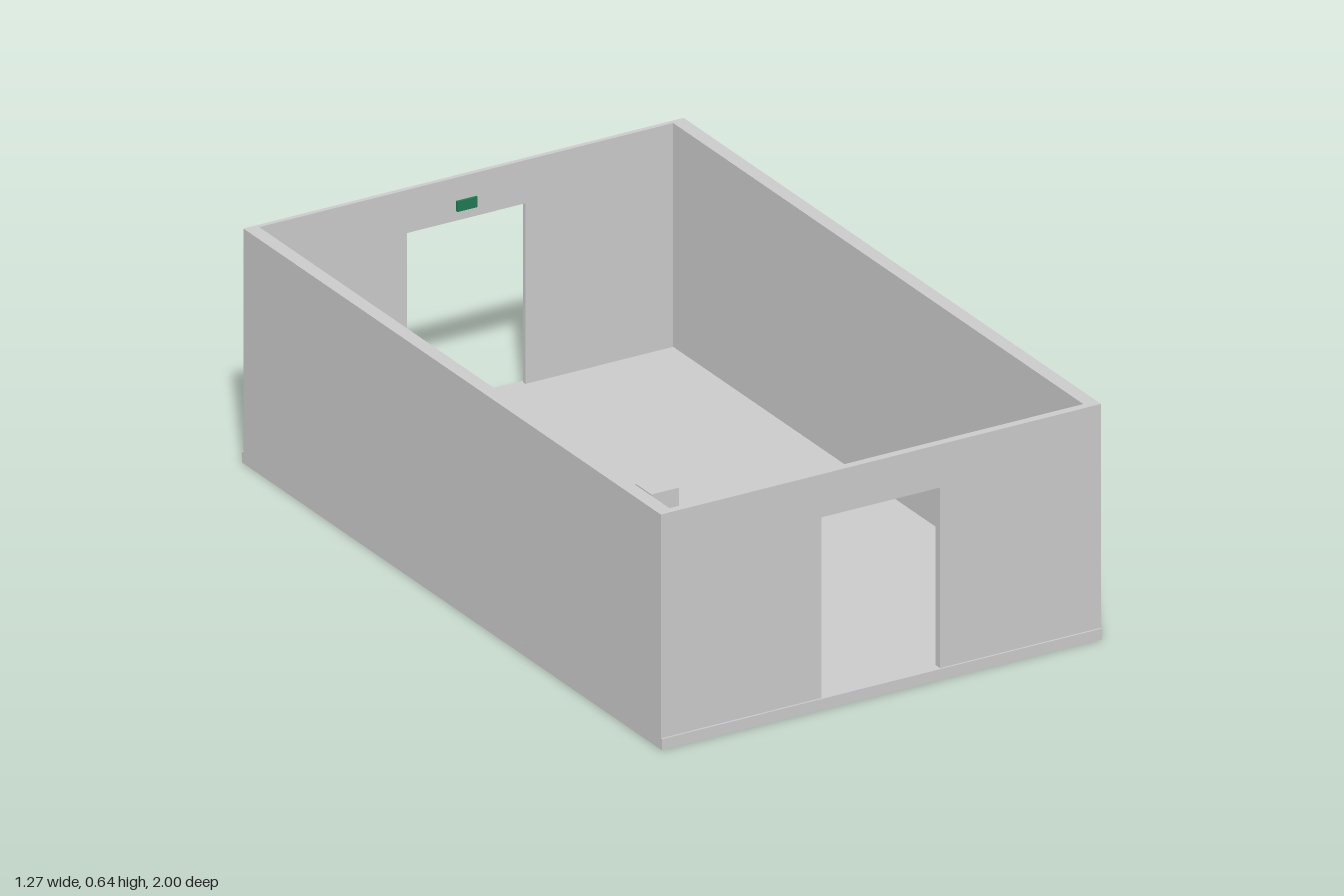
import * as THREE from 'three';

const material = (color) => new THREE.MeshStandardMaterial({ color, flatShading: true });

export function createModel() {
  const room = new THREE.Group();
  room.name = 'room';
  const grey = material(0xcccccc);
  const green = material(0x1f7a55);

  const floorTop = 0.03, wallTop = 0.637, halfWidth = 0.635, innerX = 0.597;

  // Box given by its extents on each axis
  const addBox = (name, [x0, x1], [y0, y1], [z0, z1], mat = grey) => {
    const mesh = new THREE.Mesh(new THREE.BoxGeometry(x1 - x0, y1 - y0, z1 - z0), mat);
    mesh.position.set((x0 + x1) / 2, (y0 + y1) / 2, (z0 + z1) / 2);
    mesh.name = name;
    room.add(mesh);
  };

  // End wall with a doorway open at the floor
  const addEndWall = (name, z0, z1) => {
    const door = 0.171, doorTop = 0.52;
    const outline = [
      [-innerX, floorTop], [-door, floorTop], [-door, doorTop], [door, doorTop],
      [door, floorTop], [innerX, floorTop], [innerX, wallTop], [-innerX, wallTop],
    ];
    const shape = new THREE.Shape(outline.map(([x, y]) => new THREE.Vector2(x, y)));
    const geometry = new THREE.ExtrudeGeometry(shape, { depth: z1 - z0, bevelEnabled: false });
    const mesh = new THREE.Mesh(geometry, grey);
    mesh.position.z = z0;
    mesh.name = name;
    room.add(mesh);
  };

  // Floor slab, slightly longer than the walls
  addBox('floor', [-halfWidth, halfWidth], [0, floorTop], [-1, 1]);

  // Long side walls
  addBox('leftWall', [innerX, halfWidth], [floorTop, wallTop], [-0.993, 0.995]);
  addBox('rightWall', [-halfWidth, -innerX], [floorTop, wallTop], [-0.993, 0.995]);

  // End walls with doorways
  addEndWall('frontWall', 0.973, 0.995);
  addEndWall('backWall', -0.993, -0.98);

  // Small green signs above each doorway, facing inward
  addBox('frontSign', [-0.029, 0.029], [0.546, 0.574], [0.967, 0.973], green);
  addBox('backSign', [-0.029, 0.029], [0.546, 0.574], [-0.98, -0.973], green);

  // Pedestal near the middle of the room
  addBox('pedestal', [-0.04, 0.04], [floorTop, 0.15], [-0.108, -0.032]);

  return room;
}
